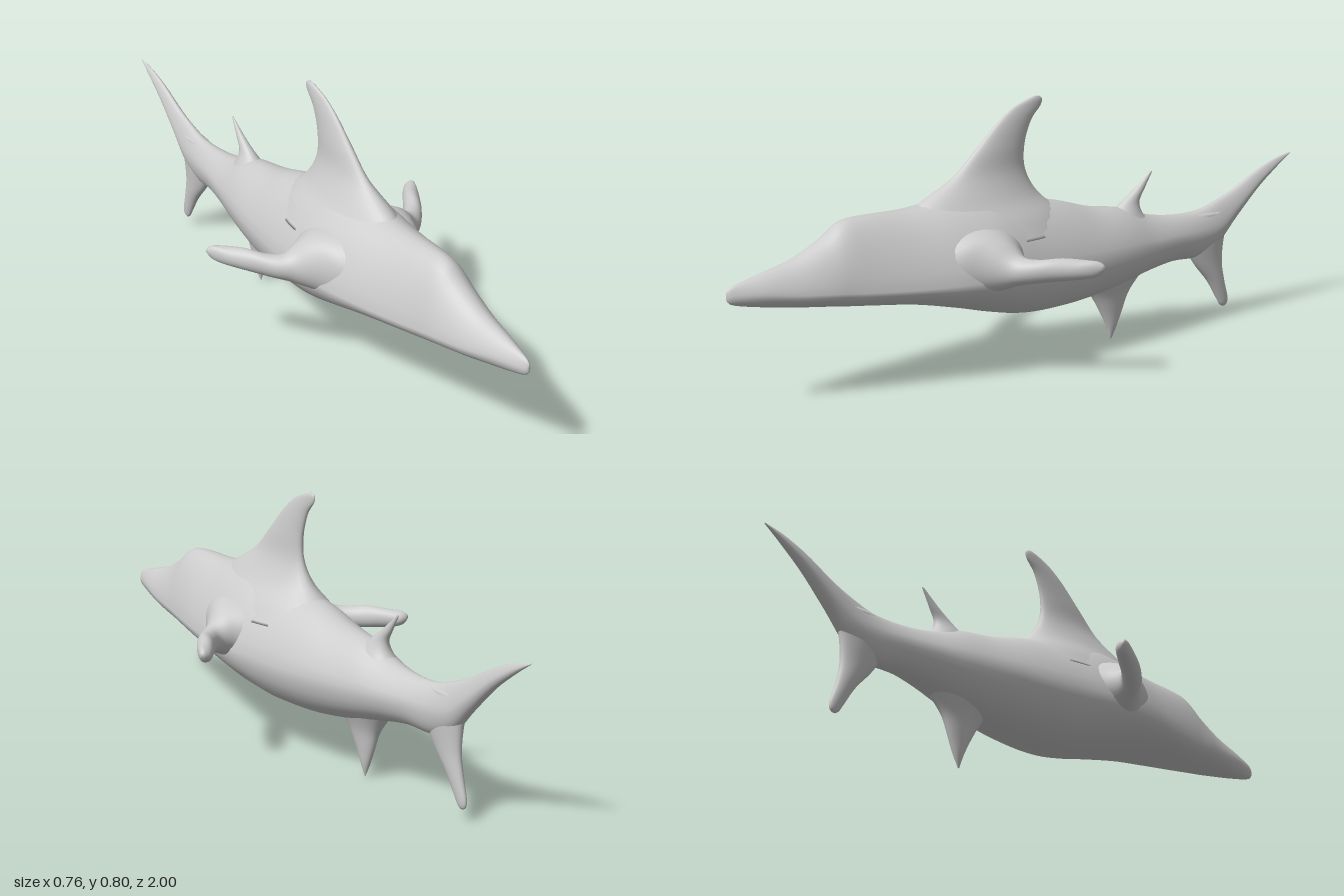
import * as THREE from 'three';

const SIDES = 32, STEPS = 5;

// Smoothly interpolates rows of section numbers (Catmull-Rom per column).
function refine(rows) {
  const out = [];
  const at = (i) => rows[Math.min(rows.length - 1, Math.max(0, i))];
  for (let i = 0; i < rows.length - 1; i++) {
    for (let k = 0; k < STEPS; k++) {
      const t = k / STEPS;
      out.push(rows[i].map((b, c) => {
        const a = at(i - 1)[c], d = at(i + 1)[c], e = at(i + 2)[c];
        return b + 0.5 * t * (d - a + t * (2 * a - 5 * b + 4 * d - e + t * (3 * (b - d) + e - a)));
      }));
    }
  }
  out.push(rows[rows.length - 1]);
  return out;
}

// Skins the rings given by point(section, angle) and closes both ends.
function loft(name, material, rows, point) {
  const rings = refine(rows).map((s) => Array.from({ length: SIDES }, (_, j) =>
    new THREE.Vector3(...point(s, (j / SIDES) * Math.PI * 2))));
  const centre = (ring) => ring.reduce((sum, p) => sum.add(p), new THREE.Vector3()).divideScalar(SIDES);
  const points = rings.flat();
  const first = points.length, last = first + 1, n = rings.length;
  points.push(centre(rings[0]), centre(rings[n - 1]));
  const index = [];
  for (let j = 0; j < SIDES; j++) {
    const k = (j + 1) % SIDES;
    for (let i = 0; i < n - 1; i++) {
      const a = i * SIDES + j, b = i * SIDES + k;
      index.push(a, b, a + SIDES, b, b + SIDES, a + SIDES);
    }
    index.push(first, k, j, last, (n - 1) * SIDES + j, (n - 1) * SIDES + k);
  }
  // Turn the faces outward whatever way the rings run.
  let volume = 0;
  const cross = new THREE.Vector3();
  for (let i = 0; i < index.length; i += 3) {
    volume += points[index[i]].dot(cross.crossVectors(points[index[i + 1]], points[index[i + 2]]));
  }
  if (volume < 0) index.reverse();
  const geometry = new THREE.BufferGeometry().setFromPoints(points);
  geometry.setIndex(index);
  geometry.computeVertexNormals();
  const mesh = new THREE.Mesh(geometry, material);
  mesh.name = name;
  return mesh;
}

// Body ring: round belly, narrower ridged back. Row: z, bottom, widest level, top, half width
function bodyPoint([z, bottom, mid, top, w], a) {
  const s = Math.sin(a);
  const x = w * Math.cos(a) * (s > 0 ? 1 - 0.25 * s : 1);
  return [x, mid + s * (s > 0 ? top - mid : mid - bottom), z];
}

// Upright fin ring. Row: y, back z, front z, half thickness
function finPoint([y, back, front, w], a) {
  return [w * Math.sin(a), y, (back + front) / 2 + ((front - back) / 2) * Math.cos(a)];
}

// Side fin ring. Row: x, low y, high y, back z, front z
function sidePoint([x, low, high, back, front], a) {
  return [x, (low + high) / 2 + ((high - low) / 2) * Math.sin(a),
    (back + front) / 2 + ((front - back) / 2) * Math.cos(a)];
}

export function createModel() {
  const group = new THREE.Group();
  const grey = new THREE.MeshStandardMaterial({ color: 0xcccccc });

  // Body running from the snout into the upper tail lobe
  group.add(loft('body', grey, [
    [1.0, 0.33, 0.34, 0.355, 0.004],
    [0.98, 0.315, 0.34, 0.37, 0.016],
    [0.9, 0.298, 0.34, 0.392, 0.043],
    [0.8, 0.283, 0.33, 0.42, 0.07],
    [0.71, 0.272, 0.325, 0.465, 0.09],
    [0.65, 0.264, 0.32, 0.507, 0.1],
    [0.58, 0.256, 0.315, 0.516, 0.115],
    [0.44, 0.238, 0.31, 0.516, 0.146],
    [0.3, 0.205, 0.31, 0.53, 0.173],
    [0.18, 0.172, 0.31, 0.53, 0.18],
    [0.06, 0.148, 0.305, 0.505, 0.165],
    [-0.08, 0.148, 0.3, 0.475, 0.147],
    [-0.2, 0.16, 0.3, 0.44, 0.128],
    [-0.32, 0.182, 0.3, 0.42, 0.103],
    [-0.42, 0.205, 0.3, 0.385, 0.079],
    [-0.52, 0.219, 0.3, 0.369, 0.058],
    [-0.62, 0.218, 0.3, 0.371, 0.043],
    [-0.7, 0.25, 0.315, 0.395, 0.034],
    [-0.77, 0.322, 0.365, 0.424, 0.026],
    [-0.86, 0.41, 0.436, 0.472, 0.018],
    [-0.94, 0.472, 0.485, 0.503, 0.01],
    [-1.0, 0.513, 0.514, 0.516, 0.002],
  ], bodyPoint));

  // Tall swept fin with a wide flared base
  group.add(loft('dorsalFin', grey, [
    [0.4, -0.12, 0.46, 0.14],
    [0.455, -0.08, 0.44, 0.108],
    [0.515, -0.01, 0.4, 0.066],
    [0.585, 0.03, 0.28, 0.033],
    [0.66, 0.032, 0.2, 0.023],
    [0.73, 0.008, 0.128, 0.015],
    [0.77, -0.025, 0.075, 0.01],
    [0.79, -0.031, 0.03, 0.007],
    [0.8, -0.02, -0.002, 0.003],
  ], finPoint));

  group.add(loft('rearDorsalFin', grey, [
    [0.35, -0.46, -0.22, 0.06],
    [0.39, -0.405, -0.27, 0.042],
    [0.43, -0.391, -0.32, 0.021],
    [0.47, -0.412, -0.375, 0.011],
    [0.52, -0.442, -0.434, 0.002],
  ], finPoint));

  group.add(loft('bellyFin', grey, [
    [0.23, -0.42, -0.15, 0.065],
    [0.19, -0.385, -0.18, 0.046],
    [0.145, -0.352, -0.218, 0.03],
    [0.09, -0.33, -0.25, 0.02],
    [0.04, -0.31, -0.274, 0.012],
    [0.0, -0.292, -0.287, 0.001],
  ], finPoint));

  group.add(loft('lowerTailLobe', grey, [
    [0.36, -0.77, -0.58, 0.025],
    [0.29, -0.735, -0.56, 0.032],
    [0.2, -0.724, -0.61, 0.024],
    [0.13, -0.735, -0.668, 0.018],
    [0.07, -0.752, -0.705, 0.012],
    [0.045, -0.752, -0.72, 0.008],
    [0.035, -0.742, -0.732, 0.002],
  ], finPoint));

  // Pair of thick, swept-back side fins
  for (const side of [1, -1]) {
    group.add(loft(side > 0 ? 'leftSideFin' : 'rightSideFin', grey, [
      [0.08, 0.26, 0.46, 0.08, 0.42],
      [0.14, 0.265, 0.445, 0.12, 0.36],
      [0.18, 0.282, 0.422, 0.145, 0.29],
      [0.22, 0.3, 0.387, 0.148, 0.236],
      [0.26, 0.311, 0.381, 0.11, 0.2],
      [0.3, 0.319, 0.387, 0.055, 0.15],
      [0.34, 0.326, 0.382, 0.005, 0.088],
      [0.365, 0.336, 0.379, -0.005, 0.042],
      [0.378, 0.355, 0.367, 0.0, 0.012],
    ], ([x, ...rest], a) => sidePoint([side * x, ...rest], a)));
  }

  return group;
}
